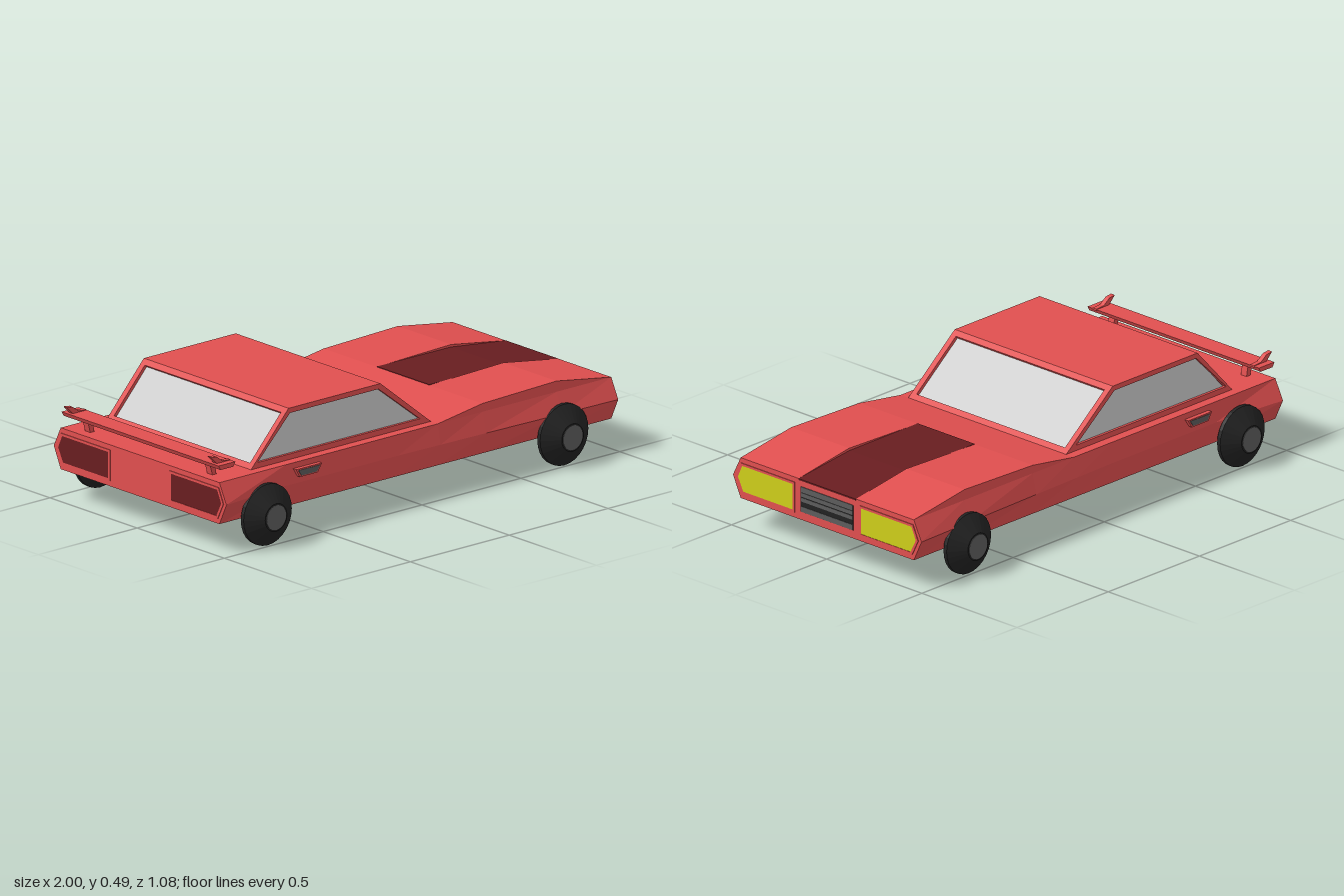
import * as THREE from 'three';

const material = (color) => new THREE.MeshStandardMaterial({ color, flatShading: true });
const red = material(0xe04f4f);
const darkRed = material(0x681d20);
const yellow = material(0xcfcf1a);
const glass = material(0xcccccc);
const black = material(0x222222);
const grey = material(0x5c5c5c);

const vectors = (points) => points.map(([x, y]) => new THREE.Vector2(x, y));

// Extrudes an outline (with an optional hole) from depth z0 to z1
function extrude(points, z0, z1, hole) {
  const shape = new THREE.Shape(vectors(points));
  if (hole) shape.holes.push(new THREE.Path(vectors(hole)));
  return new THREE.ExtrudeGeometry(shape, { depth: z1 - z0, bevelEnabled: false }).translate(0, 0, z0);
}

const rect = (x0, y0, x1, y1) => [[x0, y0], [x1, y0], [x1, y1], [x0, y1]];

// Skins a row of closed cross-sections and caps both ends
function loft(rings) {
  const out = [];
  const n = rings[0].length;
  for (let i = 0; i < rings.length - 1; i++) {
    for (let j = 0; j < n; j++) {
      const k = (j + 1) % n;
      const a = rings[i][j], b = rings[i][k], c = rings[i + 1][k], d = rings[i + 1][j];
      out.push(...a, ...d, ...c, ...a, ...c, ...b);
    }
  }
  const back = rings[0], front = rings[rings.length - 1];
  for (let k = 1; k < n - 1; k++) {
    out.push(...back[0], ...back[k], ...back[k + 1]);
    out.push(...front[0], ...front[k + 1], ...front[k]);
  }
  const geometry = new THREE.BufferGeometry();
  geometry.setAttribute('position', new THREE.Float32BufferAttribute(out, 3));
  geometry.computeVertexNormals();
  return geometry;
}

export function createModel() {
  const car = new THREE.Group();
  car.name = 'car';
  const add = (name, geometry, mat, parent = car) => {
    const mesh = new THREE.Mesh(geometry, mat);
    mesh.name = name;
    parent.add(mesh);
    return mesh;
  };

  // Body: x, half width at the crease, hood height, hood channel height
  const sections = [
    [-0.985, 0.495, 0.29, 0.29], [-0.65, 0.465, 0.29, 0.29], [-0.09, 0.465, 0.29, 0.29],
    [0.12, 0.47, 0.29, 0.29], [0.345, 0.476, 0.323, 0.323],
    [0.72, 0.487, 0.333, 0.321], [0.997, 0.495, 0.29, 0.288],
  ];
  add('body', loft(sections.map(([x, w, h, n]) => {
    const half = [[0.125, 0.455], [0.21, w], [0.29, 0.455], [h, 0.455], [h, 0.15], [n, 0.15]];
    return [
      ...half.map(([y, z]) => [x, y, z]),
      ...half.slice().reverse().map(([y, z]) => [x, y, -z]),
    ];
  })), red);

  // Dark band lying in the hood channel
  add('hoodStripe', extrude([
    [0.345, 0.315], [0.72, 0.315], [0.998, 0.284], [0.998, 0.29], [0.72, 0.323], [0.345, 0.325],
  ], -0.15, 0.15), darkRed);

  // Cabin: glass core behind side frames and sloping panels
  const cabin = new THREE.Group();
  cabin.name = 'cabin';
  car.add(cabin);
  const outline = [[-0.79, 0.29], [0.12, 0.29], [-0.135, 0.495], [-0.6, 0.495]];
  const opening = [[-0.757, 0.312], [0.065, 0.312], [-0.145, 0.475], [-0.593, 0.475]];
  add('windows', extrude([[-0.774, 0.285], [0.1, 0.285], [-0.142, 0.485], [-0.593, 0.485]], -0.404, 0.404), glass, cabin);
  add('leftSideFrame', extrude(outline, 0.395, 0.415, opening), red, cabin);
  add('rightSideFrame', extrude(outline, -0.415, -0.395, opening), red, cabin);

  // Panel across the cabin between two profile points, running towards +x
  function panel(name, from, to, hasWindow) {
    const along = new THREE.Vector3(to[0] - from[0], to[1] - from[1], 0);
    const length = along.length();
    along.normalize();
    const across = new THREE.Vector3(0, 0, 1);
    const normal = new THREE.Vector3().crossVectors(across, along);
    const hole = hasWindow ? rect(-0.39, 0.025, 0.39, length - 0.025) : null;
    const geometry = extrude(rect(-0.396, 0, 0.396, length), -0.013, 0, hole);
    const basis = new THREE.Matrix4().makeBasis(across, along, normal).setPosition(from[0], from[1], 0);
    add(name, geometry.applyMatrix4(basis), red, cabin);
  }
  panel('rearWindowFrame', outline[0], outline[3], true);
  panel('roof', outline[3], outline[2], false);
  panel('windscreenFrame', outline[2], outline[1], true);

  // Lamps with rims at both ends, shaped to the body flanks
  const lamp = [[0.18, 0.155], [0.44, 0.155], [0.468, 0.21], [0.445, 0.26], [0.18, 0.26]];
  const rim = [[0.17, 0.146], [0.448, 0.146], [0.48, 0.21], [0.452, 0.27], [0.17, 0.27]];
  const flip = (points) => points.map(([x, y]) => [-x, y]);
  for (const [end, turn, face, mat] of [
    ['head', Math.PI / 2, 0.997, yellow], ['tail', -Math.PI / 2, 0.985, darkRed],
  ]) {
    for (const side of ['left', 'right']) {
      // turning the outline towards the front swaps its sides
      const mirrored = (side === 'left') === (end === 'head');
      const shape = (points) => (mirrored ? flip(points) : points);
      add(`${side}${end}lampRim`, extrude(shape(rim), face - 0.01, face + 0.003, shape(lamp)).rotateY(turn), red);
      add(`${side}${end}lamp`, extrude(shape(lamp), face - 0.01, face + 0.0015).rotateY(turn), mat);
    }
  }

  // Grille: dark backing with horizontal slats
  add('grille', new THREE.BoxGeometry(0.01, 0.102, 0.276).translate(0.9935, 0.209, 0), black);
  for (const y of [0.17, 0.209, 0.229, 0.25]) {
    const height = y === 0.209 || y === 0.229 ? 0.016 : 0.022;
    add('grilleSlat', new THREE.BoxGeometry(0.01, height, 0.272).translate(0.995, y, 0), grey);
  }

  // Wheels: faceted tyre tapering to both faces, plus a hub cap
  const tyre = [[0, -0.06], [0.06, -0.06], [0.122, -0.004], [0.122, 0.012], [0.055, 0.06], [0, 0.06]];
  for (const [place, x] of [['rear', -0.77], ['front', 0.73]]) {
    for (const [side, s] of [['Left', 1], ['Right', -1]]) {
      const wheel = new THREE.Group();
      wheel.name = `${place}${side}Wheel`;
      wheel.position.set(x, 0.125, s * 0.476);
      if (s < 0) wheel.rotation.y = Math.PI;
      add('tyre', new THREE.LatheGeometry(vectors(tyre), 28).rotateX(Math.PI / 2), black, wheel);
      add('hubCap', new THREE.CylinderGeometry(0.049, 0.049, 0.01, 28).rotateX(Math.PI / 2).translate(0, 0, 0.057), grey, wheel);
      car.add(wheel);
    }
  }

  // Door handles
  const handleRim = [[-0.597, 0.235], [-0.505, 0.235], [-0.485, 0.268], [-0.615, 0.268]];
  const handle = [[-0.59, 0.24], [-0.511, 0.24], [-0.495, 0.263], [-0.605, 0.263]];
  for (const s of [1, -1]) {
    const span = (outer) => (s > 0 ? [0.44, outer] : [-outer, -0.44]);
    add('doorHandleRim', extrude(handleRim, ...span(0.476)), red);
    add('doorHandle', extrude(handle, ...span(0.478)), grey);
  }

  // Rear spoiler: wing, legs and end fins
  const spoiler = new THREE.Group();
  spoiler.name = 'spoiler';
  car.add(spoiler);
  add('wing', extrude([[-0.975, 0.337], [-0.91, 0.337], [-0.9, 0.355], [-0.985, 0.355]], -0.45, 0.45), red, spoiler);
  const fin = [[-0.965, 0.35], [-0.9, 0.35], [-0.9, 0.357], [-0.94, 0.36], [-0.97, 0.382], [-1, 0.386]];
  const leg = [[-0.94, 0.285], [-0.92, 0.285], [-0.93, 0.34], [-0.955, 0.34]];
  for (const s of [1, -1]) {
    add('spoilerFin', extrude(fin, s * 0.413 - 0.01, s * 0.413 + 0.01), red, spoiler);
    add('spoilerLeg', extrude(leg, s * 0.35 - 0.015, s * 0.35 + 0.015), red, spoiler);
  }

  return car;
}
